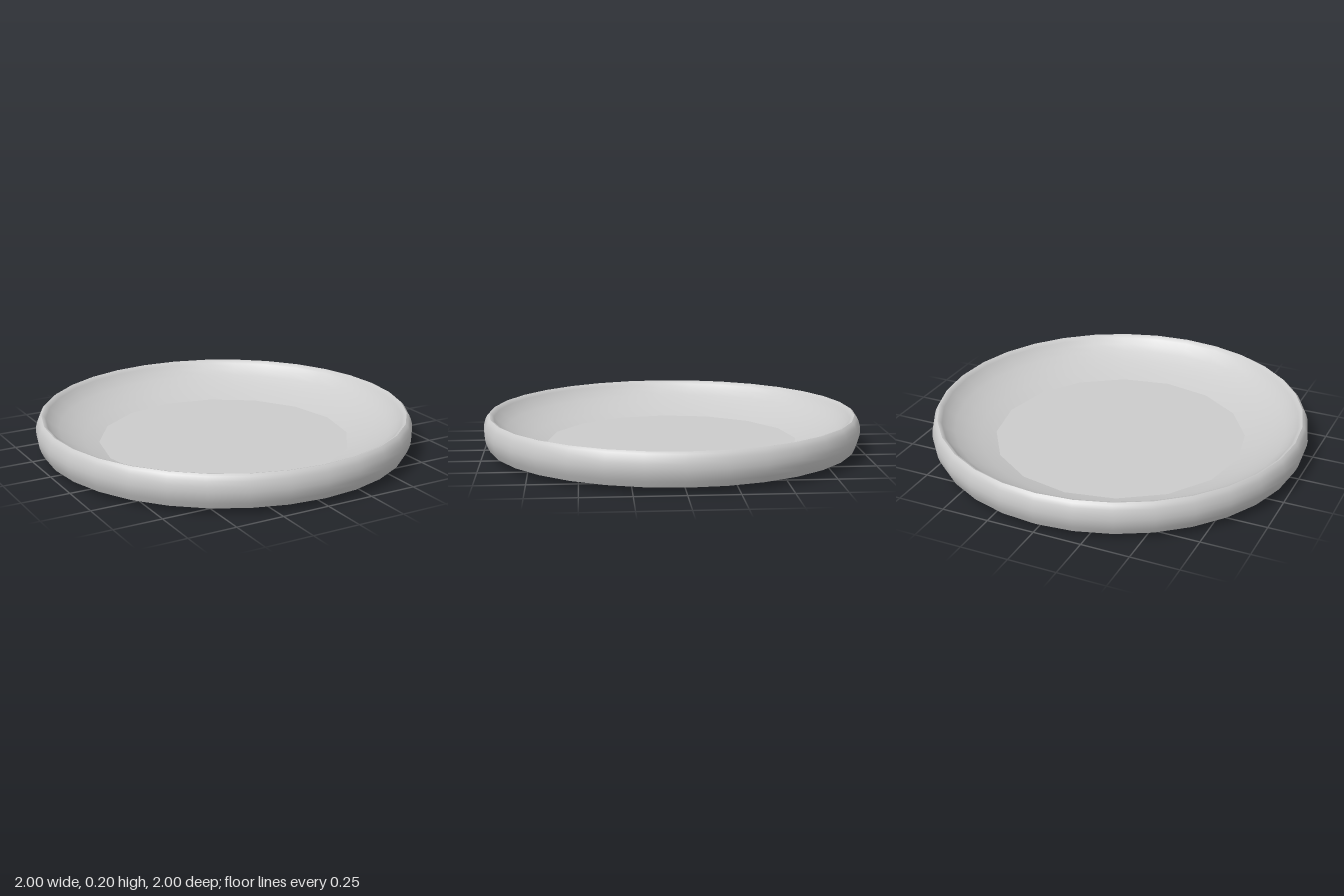
import * as THREE from 'three';
import { toCreasedNormals } from 'three/addons/utils/BufferGeometryUtils.js';

const SIDES = 32;
const FLOOR_R = 0.67;
const FLOOR_Y = 0.04;

export function createModel() {
  const group = new THREE.Group();
  const material = new THREE.MeshStandardMaterial({ color: 0xcccccc });

  const add = (name, geometry) => {
    const mesh = new THREE.Mesh(geometry, material);
    mesh.name = name;
    group.add(mesh);
  };
  const lathe = (points) =>
    new THREE.LatheGeometry(points.map(([r, y]) => new THREE.Vector2(r, y)), SIDES);

  // Dish body: flat underside, bulging side, rounded lip and sloping inner wall
  const body = lathe([
    [0, 0.03], [0.972, 0.03],
    [0.987, 0.06], [0.997, 0.09], [1, 0.118], [0.997, 0.145], [0.99, 0.17], [0.98, 0.19],
    [0.968, 0.2], [0.957, 0.197], [0.945, 0.182],
    [0.92, 0.155], [0.88, 0.126], [0.82, 0.095], [0.75, 0.065], [FLOOR_R, FLOOR_Y],
  ]);
  // Pull every other foot point of the wall inward to meet the 16-sided floor
  const pos = body.attributes.position;
  const rows = pos.count / (SIDES + 1);
  const pull = Math.cos(Math.PI / 16);
  for (let i = 1; i <= SIDES; i += 2) {
    const k = i * rows + rows - 1;
    pos.setXYZ(k, pos.getX(k) * pull, FLOOR_Y, pos.getZ(k) * pull);
  }
  add('dishBody', toCreasedNormals(body, 0.75));

  // Flat floor inside the dish
  const floor = new THREE.CircleGeometry(FLOOR_R, 16);
  floor.rotateX(-Math.PI / 2).translate(0, FLOOR_Y, 0);
  add('dishFloor', floor);

  // Foot ring under the dish
  const foot = lathe([[0.713, 0.03], [0.713, 0], [0.767, 0], [0.767, 0.03]]);
  add('footRing', toCreasedNormals(foot, 0.6));

  return group;
}
